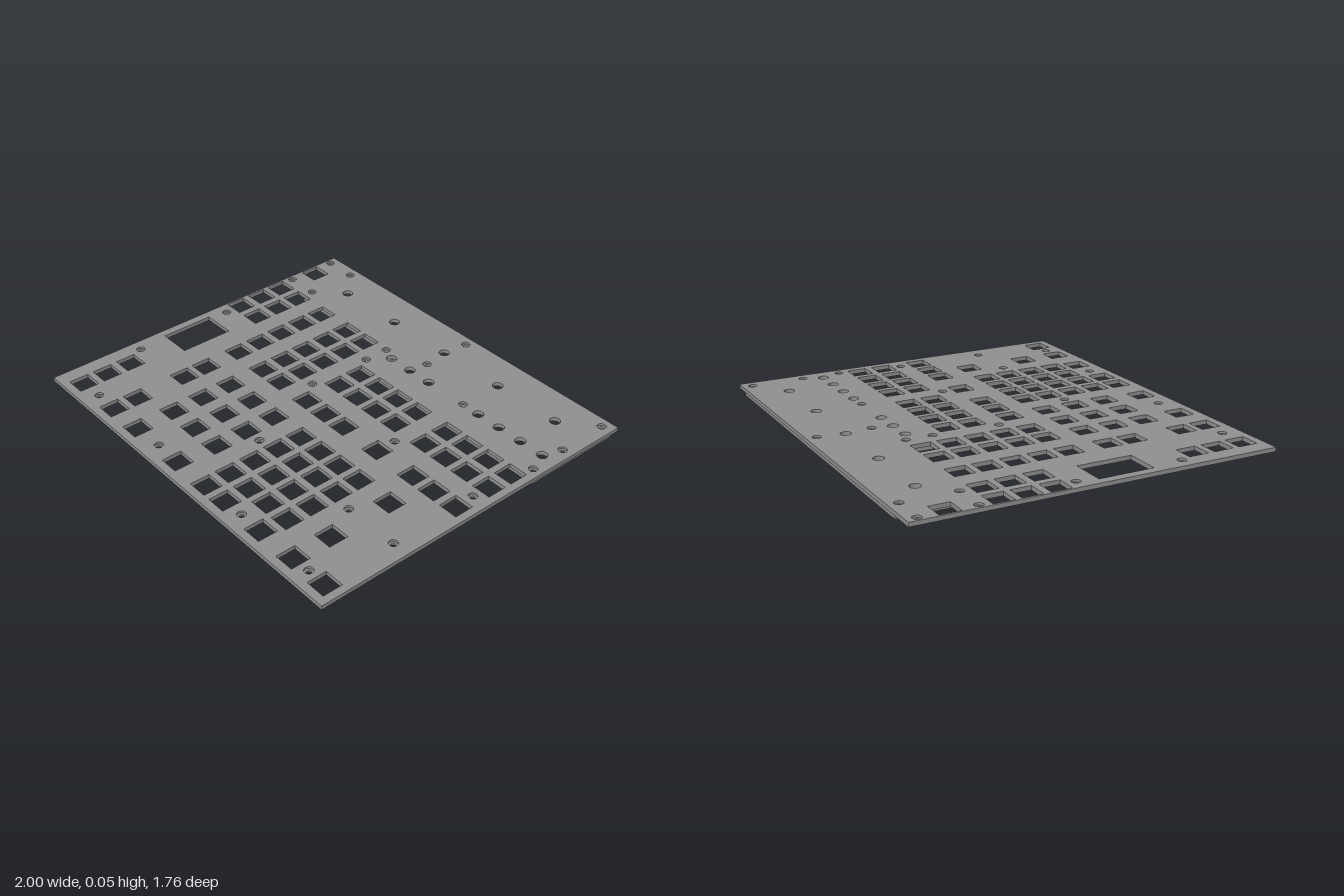
import * as THREE from 'three';

const KEY = 0.099;

// Square switch cut-outs: [z, list of x]
const keyRows = [
  [-0.698, [-0.94]],
  [-0.463, [-0.94, -0.805, -0.607, -0.41, -0.275]],
  [-0.334, [-0.94, -0.805, -0.607, -0.41, -0.275]],
  [-0.2, [-0.94, -0.805, -0.607, -0.41, -0.275]],
  [-0.067, [-0.607, -0.41, -0.275]],
  [-0.265, [-0.077, 0.056, 0.186, 0.318, 0.516, 0.647, 0.778, 0.912]],
  [-0.131, [-0.077, 0.056, 0.186, 0.318, 0.516, 0.647, 0.778, 0.912]],
  [0.067, [-0.607, -0.41, -0.275, -0.077, 0.056, 0.186, 0.414, 0.647, 0.778, 0.912]],
  [0.265, [-0.607, -0.41, -0.243, -0.077, 0.12, 0.254, 0.384, 0.516, 0.714]],
  [0.393, [-0.607, 0.12, 0.254, 0.384, 0.516]],
  [0.425, [-0.41, -0.243, -0.077]],
  [0.527, [-0.87, 0.12, 0.254, 0.384, 0.516]],
  [0.59, [-0.41, -0.243, -0.077, 0.714]],
  [0.66, [-0.87, -0.607, 0.12, 0.254, 0.384, 0.516]],
  [0.79, [-0.87, -0.607, -0.41, -0.094, 0.12, 0.254, 0.50, 0.714, 0.912]],
];

// Round cut-outs for knobs and lights
const roundHoles = [
  ...[-0.673, -0.31, 0.053, 0.417, 0.78].map((x) => [x, -0.698]),
  ...[-0.077, 0.054, 0.185, 0.516, 0.647, 0.78, 0.912].map((x) => [x, -0.467]),
];

// Screw positions
const screws = [
  [-0.97, -0.83], [-0.805, -0.83], [0.07, -0.83], [0.945, -0.83],
  [-0.97, -0.565], [-0.805, -0.565], [0.07, -0.565], [0.945, -0.565],
  [-0.15, -0.497], [-0.15, -0.366], [0.417, -0.467], [0.952, -0.366],
  [-0.935, -0.102], [-0.163, -0.035], [0.417, -0.035], [0.912, -0.035],
  [-0.935, 0.425], [0.02, 0.425], [0.634, 0.425], [0.912, 0.425],
  [-0.738, 0.79], [-0.243, 0.79], [0.37, 0.79], [0.813, 0.79],
];

// Outlines are drawn in x and z
function rect(Type, x0, z0, x1, z1) {
  const p = new Type();
  p.moveTo(x0, z0);
  p.lineTo(x1, z0);
  p.lineTo(x1, z1);
  p.lineTo(x0, z1);
  p.closePath();
  return p;
}

function circle(x, z, r) {
  const p = new THREE.Path();
  p.absarc(x, z, r, 0, Math.PI * 2, true);
  return p;
}

export function createModel() {
  const group = new THREE.Group();
  const grey = new THREE.MeshStandardMaterial({ color: 0x909090 });
  grey.name = 'grey';

  // Extrudes an outline downward from the height top
  function slab(name, shape, top, depth) {
    const geo = new THREE.ExtrudeGeometry(shape, { depth, bevelEnabled: false, curveSegments: 10 });
    geo.rotateX(Math.PI / 2);
    const mesh = new THREE.Mesh(geo, grey);
    mesh.name = name;
    mesh.position.y = top;
    group.add(mesh);
  }

  // Plate in two layers, so the screw holes are counterbored
  function plateLayer(name, screwRadius, top, depth) {
    const shape = rect(THREE.Shape, -1, -0.88, 1, 0.88);
    const h = KEY / 2;
    for (const [z, xs] of keyRows) {
      for (const x of xs) shape.holes.push(rect(THREE.Path, x - h, z - h, x + h, z + h));
    }
    shape.holes.push(rect(THREE.Path, -0.957, -0.005, -0.786, 0.267)); // display window
    for (const [x, z] of roundHoles) shape.holes.push(circle(x, z, 0.026));
    for (const [x, z] of screws) shape.holes.push(circle(x, z, screwRadius));
    slab(name, shape, top, depth);
  }
  plateLayer('plateTop', 0.021, 0.055, 0.01);
  plateLayer('plateBottom', 0.011, 0.045, 0.01);

  // Walls under the rear of the plate
  const wall = (name, x0, z0, x1, z1) => slab(name, rect(THREE.Shape, x0, z0, x1, z1), 0.035, 0.035);
  const t = 0.02;
  wall('rearWall', -0.83, -0.86, 0.98, -0.86 + t);
  wall('rightWall', -0.83, -0.86 + t, -0.83 + t, -0.53);
  wall('leftWall', 0.98 - t, -0.86 + t, 0.98, -0.335);
  wall('frontWall', -0.18, -0.335 - t, 0.98 - t, -0.335);
  wall('stepWall', -0.18, -0.53, -0.18 + t, -0.335 - t);

  // Middle wall, which steps around a screw
  wall('middleWallRight', -0.83 + t, -0.53 - t, 0.02, -0.53);
  wall('middleWallLeft', 0.12, -0.53 - t, 0.91, -0.53);
  wall('screwBay', 0.02, -0.62, 0.12, -0.62 + t);
  wall('screwBaySide', 0.02 - t, -0.62, 0.02, -0.53 - t);
  wall('screwBaySide', 0.12, -0.62, 0.12 + t, -0.53 - t);

  // Screw bosses joined to the walls
  for (const [x, z] of [[0.07, -0.815], [0.417, -0.49], [-0.135, -0.375], [-0.135, -0.5]]) {
    const [sx, sz] = screws.reduce((a, b) =>
      Math.hypot(b[0] - x, b[1] - z) < Math.hypot(a[0] - x, a[1] - z) ? b : a);
    const boss = rect(THREE.Shape, x - 0.03, z - 0.035, x + 0.03, z + 0.035);
    boss.holes.push(circle(sx, sz, 0.011));
    slab('screwBoss', boss, 0.035, 0.034);
  }
  return group;
}
